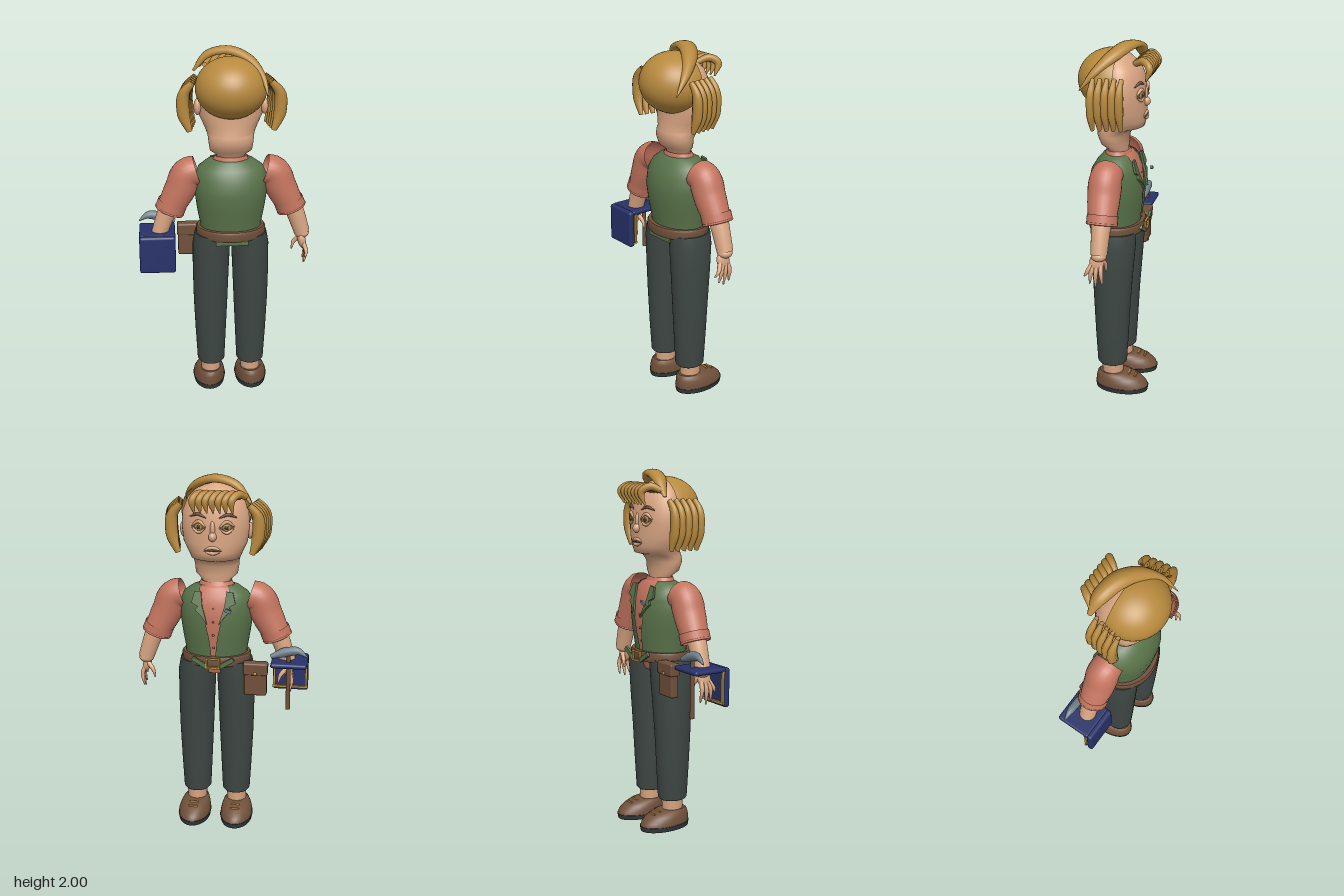
import * as THREE from 'three';
import { mergeVertices } from 'three/addons/utils/BufferGeometryUtils.js';
import { RoundedBoxGeometry } from 'three/addons/geometries/RoundedBoxGeometry.js';

const CX = 0.03; // body centre line
const V = (x, y, z) => new THREE.Vector3(x, y, z);

function mat(name, color) {
  const m = new THREE.MeshStandardMaterial({ color, side: THREE.DoubleSide });
  m.name = name;
  return m;
}

// Elliptical cross-sections [y, centreX, halfWidth, zBack, zFront, frontGap], listed bottom to top
function loft(rows, open = false, gap = false) {
  const n = rows.length - 1;
  let g = new THREE.CylinderGeometry(1, 1, 1, 40, n, open);
  const uv = g.attributes.uv.clone();
  if (!gap) {
    g.deleteAttribute('uv');
    g = mergeVertices(g);
  }
  const p = g.attributes.position;
  for (let i = 0; i < p.count; i++) {
    const [y, cx, hw, z0, z1, a] = rows[Math.round((p.getY(i) + 0.5) * n)];
    let sx = p.getX(i), sz = p.getZ(i);
    if (gap) {
      const t = Math.PI + a + uv.getX(i) * (2 * Math.PI - 2 * a);
      sx = Math.sin(t);
      sz = Math.cos(t);
    }
    p.setXYZ(i, cx + sx * hw, y, (z0 + z1) / 2 + sz * (z0 - z1) / 2);
  }
  g.computeVertexNormals();
  return g;
}

// Tube along a curve with varying radius and per-axis flattening
function taper(pts, radii, flat = [1, 1, 1], sides = 14, n = 20) {
  const c = new THREE.CatmullRomCurve3(pts.map((q) => V(...q)));
  const g = new THREE.TubeGeometry(c, n, 1, sides);
  const p = g.attributes.position;
  for (let i = 0; i < p.count; i++) {
    const t = Math.floor(i / (sides + 1)) / n;
    const o = c.getPointAt(t), f = t * (radii.length - 1);
    const k = Math.min(Math.floor(f), radii.length - 2);
    const r = THREE.MathUtils.lerp(radii[k], radii[k + 1], f - k);
    p.setXYZ(i, o.x + (p.getX(i) - o.x) * r * flat[0], o.y + (p.getY(i) - o.y) * r * flat[1], o.z + (p.getZ(i) - o.z) * r * flat[2]);
  }
  return g;
}

const headRows = [
  [1.37, CX, 0.075, 0.05, -0.055], [1.42, CX, 0.08, 0.055, -0.058], [1.45, CX, 0.115, 0.09, -0.06],
  [1.5, CX, 0.122, 0.11, -0.065], [1.535, CX, 0.126, 0.105, -0.09], [1.55, CX, 0.133, 0.1, -0.145],
  [1.59, CX, 0.15, 0.095, -0.155], [1.64, CX, 0.173, 0.09, -0.155], [1.72, CX, 0.183, 0.09, -0.152],
  [1.8, CX, 0.178, 0.09, -0.15], [1.87, CX, 0.15, 0.08, -0.122], [1.92, CX, 0.1, 0.06, -0.07], [1.945, CX, 0.02, 0.01, -0.02],
];

// Depth of the face surface at a point
function faceZ(x, y) {
  const i = Math.max(0, headRows.findIndex((r) => r[0] > y) - 1);
  const a = headRows[i], b = headRows[i + 1], t = (y - a[0]) / (b[0] - a[0]);
  const [hw, z0, z1] = [2, 3, 4].map((k) => a[k] + (b[k] - a[k]) * t);
  return (z0 + z1) / 2 - (z0 - z1) / 2 * Math.sqrt(Math.max(0, 1 - ((x - CX) / hw) ** 2));
}

export function createModel() {
  const root = new THREE.Group();
  const skin = mat('skin', 0xd8a582), hair = mat('golden', 0xb88a3e), shirt = mat('shirt', 0xc4755f);
  const green = mat('vestGreen', 0x59734a), slate = mat('trousers', 0x3e4744), brown = mat('leather', 0x70503a);
  const navy = mat('navy', 0x28326a), steel = mat('steel', 0x6f808a), dark = mat('dark', 0x33393a);

  const add = (name, geo, m, pos = [0, 0, 0], rot = [0, 0, 0], scale = [1, 1, 1]) => {
    const o = new THREE.Mesh(geo, m);
    o.name = name;
    o.position.set(...pos);
    o.rotation.set(...rot);
    o.scale.set(...scale);
    root.add(o);
    return o;
  };
  const box = (name, size, m, pos, rot) => add(name, new THREE.BoxGeometry(...size), m, pos, rot);
  const ball = (name, m, pos, scale, rot) => add(name, new THREE.SphereGeometry(1, 24, 16), m, pos, rot, scale);

  // Head and face
  add('head', loft(headRows), skin);
  ball('nose', skin, [CX, 1.685, -0.15], [0.022, 0.026, 0.028]);
  ball('noseBridge', skin, [CX, 1.725, -0.146], [0.014, 0.045, 0.018]);
  const onFace = (name, pts, r, m, lift = 0.002) =>
    add(name, taper(pts.map(([x, y]) => [CX + x, y, faceZ(CX + x, y) - lift]), [r * 0.3, r, r, r * 0.3], [1, 1, 1], 8), m);
  onFace('upperLip', [[-0.045, 1.612], [-0.015, 1.625], [0.015, 1.625], [0.045, 1.612]], 0.009, skin);
  onFace('mouthLine', [[-0.05, 1.608], [0, 1.613], [0.05, 1.608]], 0.005, brown, 0.006);
  onFace('lowerLip', [[-0.04, 1.604], [0, 1.597], [0.04, 1.604]], 0.01, skin);
  for (const s of [-1, 1]) {
    const ex = CX + s * 0.075, ez = faceZ(ex, 1.735), turn = [0, -s * 0.35, 0];
    ball('eyeSocket', brown, [ex, 1.735, ez], [0.036, 0.024, 0.006], turn);
    ball('iris', hair, [ex, 1.735, ez - 0.005], [0.02, 0.02, 0.005], turn);
    ball('pupil', dark, [ex, 1.735, ez - 0.009], [0.011, 0.011, 0.004], turn);
    onFace('upperLid', [[s * 0.035, 1.735], [s * 0.075, 1.765], [s * 0.115, 1.738]], 0.009, skin, 0.004);
    onFace('lowerLid', [[s * 0.037, 1.732], [s * 0.075, 1.707], [s * 0.113, 1.732]], 0.008, skin, 0.004);
    onFace('eyebrow', [[s * 0.035, 1.785], [s * 0.08, 1.802], [s * 0.125, 1.785]], 0.008, brown);
    ball('ear', skin, [CX + s * 0.18, 1.69, 0.01], [0.02, 0.045, 0.03]);
    // Side curls
    for (let i = 0; i < 5; i++) {
      const z = -0.065 + i * 0.036, k = i * 0.006 - 0.012;
      add('sideCurl', taper([[0.195, 1.84], [0.24, 1.78], [0.243, 1.67], [0.212, 1.575]].map(([x, y]) => [CX + s * (x + k), y, z]),
        [0.017, 0.034, 0.034, 0.015], [1, 1, 0.65], 12), hair);
    }
  }

  // Hair: back cap, swept lock and fringe
  add('hairCap', new THREE.SphereGeometry(1, 48, 24, 0, Math.PI * 2, 0, Math.PI * 0.57), hair,
    [CX, 1.795, 0.025], [Math.PI / 2, 0, 0], [0.192, 0.187, 0.165]);
  add('sweptLock', taper([[-0.165, 1.86, -0.1], [-0.09, 1.95, -0.088], [0.02, 1.978, -0.058], [0.12, 1.945, -0.005],
    [0.19, 1.87, 0.075], [0.218, 1.77, 0.16]], [0.012, 0.045, 0.055, 0.05, 0.03, 0.003], [0.6, 0.4, 1], 18, 36), hair);
  for (let i = 0; i < 7; i++) {
    const x = -0.14 + i * 0.034;
    add('fringe', taper([[x, 1.89, -0.1], [x + 0.035, 1.913, -0.155], [x + 0.065, 1.885, -0.192], [x + 0.06, 1.815, -0.172]],
      [0.016, 0.021, 0.02, 0.004], [1, 1, 1], 12), hair);
  }

  // Torso: shirt beneath an open vest
  const torso = [[0.96, 0.17, 0.125, -0.128, 0.06], [1.03, 0.172, 0.13, -0.132, 0.07], [1.12, 0.188, 0.146, -0.145, 0.12],
    [1.22, 0.202, 0.156, -0.15, 0.22], [1.3, 0.2, 0.14, -0.14, 0.36], [1.35, 0.178, 0.11, -0.122, 0.5], [1.385, 0.13, 0.08, -0.1, 0.65], [1.395, 0.1, 0.065, -0.085, 0.75]];
  add('shirt', loft(torso.map(([y, w, a, b]) => [y, CX, w - 0.01, a - 0.01, b + 0.01])), shirt);
  add('shirtHem', loft([[0.9, CX, 0.1, 0.07, -0.09], [0.97, CX, 0.16, 0.11, -0.11]]), shirt);
  add('collar', loft([[1.385, CX, 0.1, 0.07, -0.08], [1.415, CX, 0.085, 0.06, -0.065]], true), shirt);
  add('vest', loft(torso.map(([y, w, a, b, g]) => [y, CX, w, a, b, g]), true, true), green);
  for (let i = 0; i < 4; i++) ball('shirtButton', brown, [CX, 1.06 + i * 0.075, -0.125 - 0.012 * Math.sin(i)], [0.007, 0.007, 0.008]);
  const lapel = new THREE.Shape([[0.03, 0], [0.065, 0.05], [0.1, 0.08], [0.085, 0.1], [0.12, 0.12], [0.105, 0.18], [0.07, 0.185], [0.06, 0.1]]
    .map(([x, y]) => new THREE.Vector2(x, y)));
  const lapelGeo = new THREE.ExtrudeGeometry(lapel, { depth: 0.012, bevelEnabled: false });
  for (const s of [-1, 1]) {
    add('lapel', lapelGeo, green, [CX, 1.2, -0.163], [0.27, 0, 0], [s, 1, 1]);
    box('vestPoint', [0.09, 0.024, 0.014], green, [CX + s * 0.075, 0.985, -0.158], [0, 0, s * 0.55]);
  }
  box('lapelPin', [0.035, 0.018, 0.012], steel, [CX - 0.085, 1.285, -0.168], [0, 0, 0.4]);
  box('vestTail', [0.18, 0.04, 0.012], green, [CX, 0.95, 0.128]);

  // Belt, buckle and pouch
  add('belt', loft([[0.955, CX, 0.186, 0.15, -0.15], [0.965, CX, 0.193, 0.156, -0.156], [1, CX, 0.193, 0.156, -0.156], [1.01, CX, 0.186, 0.15, -0.15]]), brown);
  for (const s of [-1, 1]) {
    box('buckleSide', [0.01, 0.055, 0.012], hair, [CX + s * 0.035, 0.982, -0.163]);
    box('buckleBar', [0.08, 0.01, 0.012], hair, [CX, 0.982 + s * 0.026, -0.163]);
  }
  add('pouch', new RoundedBoxGeometry(0.125, 0.17, 0.05, 2, 0.012), brown, [-0.2, 0.875, -0.1]);
  add('pouchFlap', new RoundedBoxGeometry(0.135, 0.07, 0.06, 2, 0.01), brown, [-0.2, 0.945, -0.102]);
  ball('pouchButton', hair, [-0.2, 0.922, -0.134], [0.01, 0.01, 0.006]);

  // Arms, legs and shoes
  for (const s of [-1, 1]) {
    const side = (pts) => pts.map(([x, y, z]) => [CX + s * x, y, z]);
    add('sleeve', taper(side([[0.185, 1.33, 0.005], [0.235, 1.315, 0.005], [0.275, 1.23, 0.005], [0.333, 1.115, 0]]),
      [0.082, 0.09, 0.085, 0.074], [1, 1, 1], 28), shirt);
    add('cuff', taper(side([[0.32, 1.145, 0], [0.338, 1.1, 0]]), [0.083, 0.083], [1, 1, 1], 28, 2), shirt);
    add('cuffEdge', new THREE.TorusGeometry(0.078, 0.007, 8, 28), shirt, [CX + s * 0.338, 1.1, 0], [Math.PI / 2, s * 0.38, 0]);
    add('forearm', taper(side([[0.32, 1.17, 0], [0.365, 1.06, 0], [0.402, 0.95, 0]]), [0.058, 0.05, 0.044], [1, 1, 1], 24), skin);
    ball('wrist', skin, [CX + s * 0.4, 0.945, 0], [0.042, 0.03, 0.042]);
    ball('palm', skin, [CX + s * 0.4, 0.905, 0.012], [0.023, 0.052, 0.04], [0, 0, s * 0.2]);
    [[0.078, 0.825], [0.048, 0.785], [0.016, 0.768], [-0.02, 0.782]].forEach(([z, y]) =>
      add('finger', taper(side([[0.405, 0.9, z * 0.45], [0.422, 0.85, z * 0.8], [0.412, y, z]]), [0.013, 0.012, 0.004], [1, 1, 1], 10), skin));
    add('thumb', taper(side([[0.395, 0.92, -0.01], [0.36, 0.88, -0.025], [0.348, 0.835, -0.025]]), [0.015, 0.012, 0.004], [1, 1, 1], 10), skin);

    const lx = (o) => CX + s * o;
    add('trouserLeg', loft([[0.16, lx(0.113), 0.07, 0.08, -0.072], [0.17, lx(0.113), 0.078, 0.087, -0.08], [0.35, lx(0.114), 0.087, 0.097, -0.09],
      [0.55, lx(0.114), 0.096, 0.106, -0.1], [0.75, lx(0.112), 0.102, 0.115, -0.115], [0.9, lx(0.108), 0.105, 0.122, -0.126], [0.97, lx(0.1), 0.1, 0.12, -0.125]]), slate);
    add('ankle', loft([[0.08, lx(0.115), 0.054, 0.06, -0.058], [0.18, lx(0.115), 0.058, 0.062, -0.06]]), skin);
    add('sole', loft([[0, lx(0.122), 0.088, 0.094, -0.205], [0.028, lx(0.122), 0.094, 0.098, -0.21]]), dark);
    add('shoe', loft([[0.028, lx(0.122), 0.091, 0.096, -0.207], [0.05, lx(0.122), 0.09, 0.095, -0.198], [0.075, lx(0.12), 0.083, 0.092, -0.17],
      [0.095, lx(0.118), 0.073, 0.086, -0.125], [0.103, lx(0.117), 0.06, 0.075, -0.09]]), brown);
    for (const z of [-0.1, -0.135]) box('shoeLace', [0.05, 0.008, 0.01], hair, [lx(0.12), 0.09 + (z + 0.135) * 0.35, z], [0.3, 0, 0]);
  }

  // Open case: upright panel and flat lid, trimmed in gold
  add('caseBack', new RoundedBoxGeometry(0.2, 0.215, 0.036, 3, 0.014), navy, [-0.38, 0.868, 0.087]);
  add('caseLid', new RoundedBoxGeometry(0.2, 0.026, 0.2, 3, 0.012), navy, [-0.38, 0.965, -0.02]);
  for (const s of [-1, 1]) {
    box('caseTrimRail', [0.2, 0.012, 0.014], hair, [-0.38, 0.868 + s * 0.084, 0.06]);
    box('caseTrimPost', [0.012, 0.18, 0.014], hair, [-0.38 + s * 0.09, 0.868, 0.06]);
  }

  // Hammer
  add('hammerHandle', new THREE.CylinderGeometry(0.011, 0.013, 0.34, 14), brown, [-0.378, 0.87, -0.07]);
  add('hammerHead', taper([[-0.48, 1.01, -0.07], [-0.43, 1.042, -0.07], [-0.375, 1.038, -0.07], [-0.28, 1.005, -0.07]],
    [0.003, 0.025, 0.027, 0.012], [1, 1, 0.85], 14), steel);
  return root;
}
